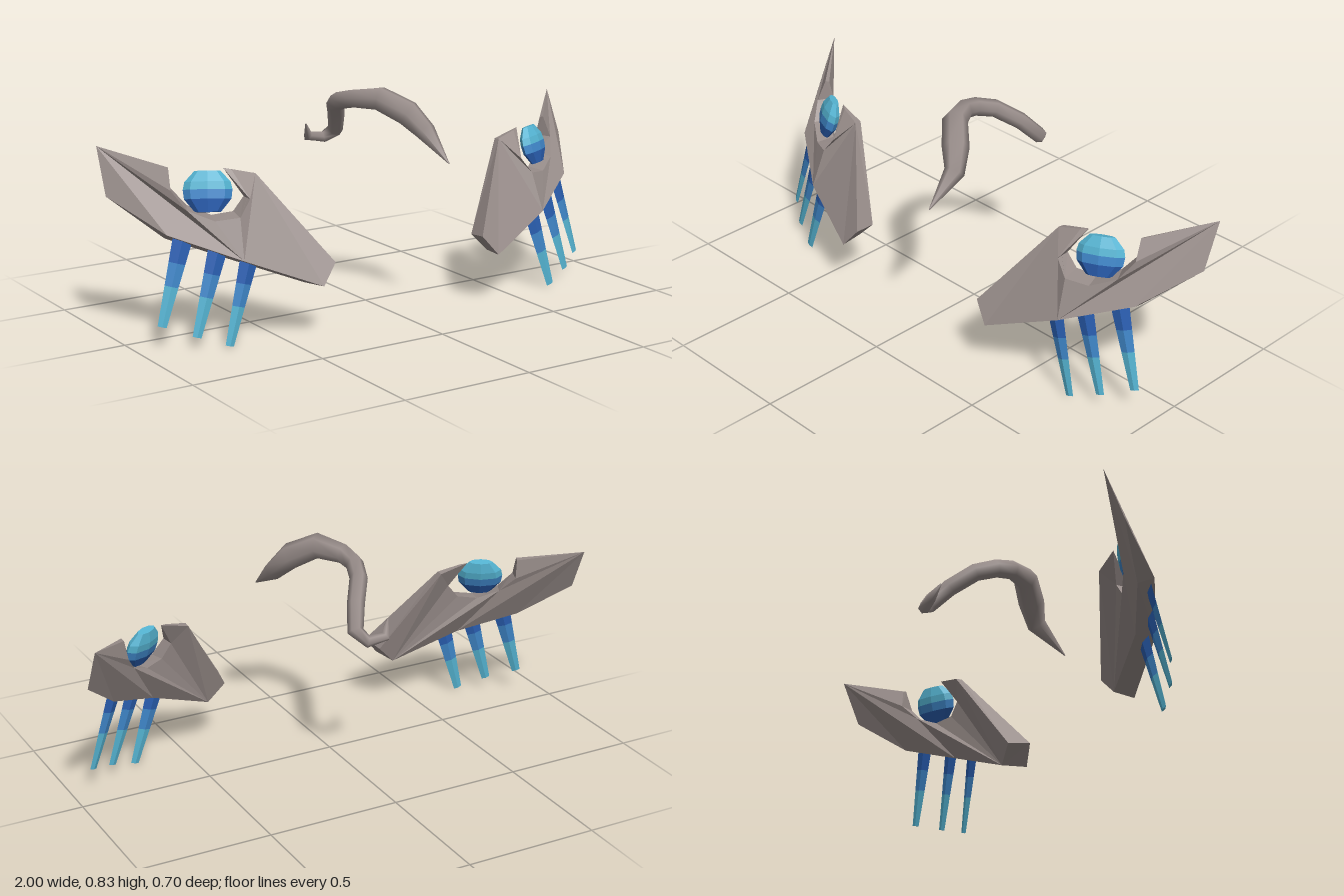
import * as THREE from 'three';

const material = (name, color) => Object.assign(new THREE.MeshStandardMaterial({ color }), { name });

// Non-indexed copy gives hard facets.
function faceted(geometry) {
  const g = geometry.index ? geometry.toNonIndexed() : geometry;
  g.computeVertexNormals();
  return g;
}

// Reflects a faceted geometry across x = 0 and restores its winding.
function mirrored(geometry) {
  const src = geometry.attributes.position, out = [];
  for (let i = 0; i < src.count; i += 3)
    for (const k of [i, i + 2, i + 1]) out.push(-src.getX(k), src.getY(k), src.getZ(k));
  return fromPositions(out);
}

function fromPositions(list) {
  const g = new THREE.BufferGeometry();
  g.setAttribute('position', new THREE.Float32BufferAttribute(list, 3));
  g.computeVertexNormals();
  return g;
}

// Sweeps an elliptical ring along points with one radius per point.
function sweep(points, radii, sides, ref, flat = 1) {
  const pos = [], idx = [], n = points.length;
  let u = ref.clone();
  points.forEach((p, i) => {
    const t = points[Math.min(i + 1, n - 1)].clone().sub(points[Math.max(i - 1, 0)]).normalize();
    u = u.clone().addScaledVector(t, -u.dot(t)).normalize();
    const v = t.clone().cross(u);
    for (let j = 0; j < sides; j++) {
      const a = (j / sides) * Math.PI * 2;
      pos.push(...p.clone().addScaledVector(u, Math.cos(a) * radii[i])
        .addScaledVector(v, Math.sin(a) * radii[i] * flat).toArray());
    }
  });
  for (let i = 0; i < n - 1; i++)
    for (let j = 0; j < sides; j++) {
      const k = (j + 1) % sides, a = i * sides, b = a + sides;
      idx.push(a + j, a + k, b + k, a + j, b + k, b + j);
    }
  const last = (n - 1) * sides;
  for (let j = 1; j < sides - 1; j++) idx.push(0, j + 1, j, last, last + j, last + j + 1);
  const g = new THREE.BufferGeometry();
  g.setAttribute('position', new THREE.Float32BufferAttribute(pos, 3));
  g.setIndex(idx);
  g.computeVertexNormals();
  return g;
}

// Notched wing plate: front outline, back outline and the walls between them.
function wingGeometry() {
  const front = [
    [0.995, 0.675, -0.19], [0.82, 0.615, 0.01],
    [0.83, 0.54, 0.045], [0.795, 0.475, 0.095], [0.715, 0.438, 0.15], [0.635, 0.447, 0.185],
    [0.59, 0.505, 0.175], [0.615, 0.598, 0.09],
    [0.53, 0.578, 0.11], [0.32, 0.267, 0.3], [0.38, 0.193, 0.32], [0.65, 0.305, 0.235], [0.87, 0.396, 0.087],
  ];
  const back = [
    [0.995, 0.675, -0.19], [0.815, 0.61, -0.005],
    [0.805, 0.54, -0.015], [0.765, 0.48, 0.035], [0.695, 0.445, 0.085], [0.625, 0.455, 0.115],
    [0.585, 0.505, 0.12], [0.64, 0.604, 0.075],
    [0.53, 0.575, 0.085], [0.334, 0.255, 0.21], [0.4, 0.187, 0.22], [0.65, 0.29, 0.15], [0.85, 0.37, 0.03],
    [1.0, 0.51, -0.115],
  ];
  const out = [];
  const tri = (...corners) => corners.forEach((c) => out.push(...c));
  const fill = (loop) => THREE.ShapeUtils.triangulateShape(loop.map(([x, y]) => new THREE.Vector2(x, y)), []);
  fill(front).forEach(([a, b, c]) => tri(front[a], front[b], front[c]));
  fill(back).forEach(([a, b, c]) => tri(back[a], back[c], back[b]));
  const f = [...front, front[0]];
  for (let i = 0; i < back.length; i++) {
    const k = (i + 1) % back.length;
    tri(f[i], back[i], back[k]);
    if (f[i] !== f[k]) tri(f[i], back[k], f[k]);
  }
  return fromPositions(out);
}

export function createModel() {
  const model = new THREE.Group();
  model.name = 'wingsAndHorn';
  const taupe = material('taupe', 0x978c89);
  const deepBlue = material('deepBlue', 0x2a5fb2);
  const midBlue = material('midBlue', 0x3f86c8);
  const paleBlue = material('paleBlue', 0x54b2d0);
  const V = (x, y, z) => new THREE.Vector3(x, y, z);

  // Parts of the left side, copied to the right.
  const parts = [['wing', wingGeometry(), taupe]];

  // Gem floating in the notch, in three colour bands.
  const gemBands = [
    ['gemBottom', deepBlue, [[0, -0.07], [0.045, -0.07], [0.082, -0.025]]],
    ['gemMiddle', midBlue, [[0.082, -0.025], [0.086, 0.008]]],
    ['gemTop', paleBlue, [[0.086, 0.008], [0.08, 0.035], [0.045, 0.073], [0, 0.073]]],
  ];
  for (const [name, mat, profile] of gemBands) {
    const g = new THREE.LatheGeometry(profile.map(([r, y]) => new THREE.Vector2(r, y)), 8);
    g.scale(1, 1, 0.36).rotateX(-0.3).rotateY(0.5).translate(0.71, 0.53, 0.09);
    parts.push([name, faceted(g), mat]);
  }

  // Three hanging blades, each fading from deep to pale blue.
  const blades = [
    ['outerBlade', V(0.815, 0.385, 0.1), V(0.91, 0.08, 0.112), -0.4],
    ['middleBlade', V(0.715, 0.345, 0.166), V(0.81, 0.043, 0.178), -0.25],
    ['innerBlade', V(0.615, 0.305, 0.207), V(0.705, 0.005, 0.22), -0.08],
  ];
  const bands = [['Root', deepBlue, 0, 0.29], ['Middle', midBlue, 0.29, 0.55], ['Tip', paleBlue, 0.55, 1]];
  for (const [name, top, bottom, turn] of blades)
    for (const [suffix, mat, a, b] of bands) {
      const ends = [a, b].map((t) => top.clone().lerp(bottom, t));
      const radii = [a, b].map((t) => 0.035 - 0.019 * t);
      parts.push([name + suffix, faceted(sweep(ends, radii, 4, V(1, 0, turn), 0.28)), mat]);
    }

  for (const side of ['left', 'right']) {
    const group = new THREE.Group();
    group.name = side + 'Wing';
    for (const [name, geometry, mat] of parts) {
      const mesh = new THREE.Mesh(side === 'left' ? geometry : mirrored(geometry), mat);
      mesh.name = name;
      group.add(mesh);
    }
    model.add(group);
  }

  // Curved horn between the wings: x, y, z, radius.
  const spine = [
    [0.13, 0.575, 0.348, 0.002], [0.12, 0.67, 0.215, 0.038], [0.075, 0.735, 0.165, 0.05],
    [0.0, 0.785, 0.095, 0.047], [-0.055, 0.775, 0.0, 0.036], [-0.065, 0.758, -0.07, 0.034],
    [-0.04, 0.733, -0.145, 0.033], [0.015, 0.672, -0.225, 0.032], [0.052, 0.6, -0.29, 0.03],
    [0.02, 0.567, -0.325, 0.023], [-0.045, 0.577, -0.332, 0.02], [-0.07, 0.63, -0.305, 0.003],
  ];
  const horn = new THREE.Mesh(
    sweep(spine.map(([x, y, z]) => V(x, y, z)), spine.map((s) => s[3]), 6, V(0, 1, 0)), taupe);
  horn.name = 'horn';
  model.add(horn);
  return model;
}
